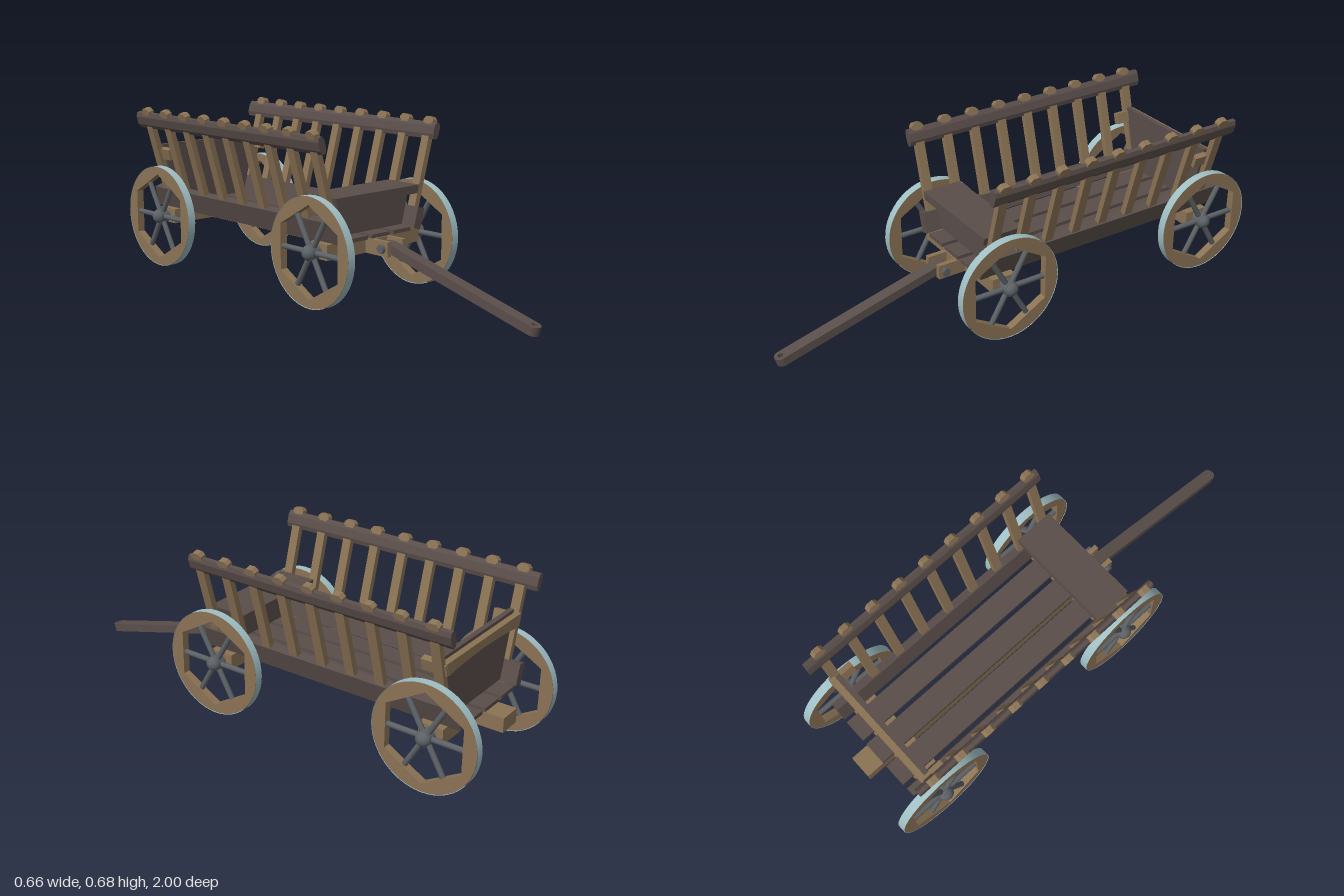
import * as THREE from 'three';

const mat = (color, side = THREE.FrontSide) => new THREE.MeshStandardMaterial({ color, side });
const wood = mat(0x8b7355);
const darkWood = mat(0x5a4e4a);
const iron = mat(0x5c6165);
const tyreSteel = mat(0x9fbfc4, THREE.DoubleSide);

function add(parent, name, geometry, material, x = 0, y = 0, z = 0) {
  const mesh = new THREE.Mesh(geometry, material);
  mesh.name = name;
  mesh.position.set(x, y, z);
  parent.add(mesh);
  return mesh;
}
const box = (w, h, d) => new THREE.BoxGeometry(w, h, d);
const polygon = (pts) => new THREE.Shape(pts.map(([x, y]) => new THREE.Vector2(x, y)));
// Flat shape thickened evenly about z = 0
function slab(shape, depth, curveSegments = 12) {
  return new THREE.ExtrudeGeometry(shape, { depth, bevelEnabled: false, curveSegments }).translate(0, 0, -depth / 2);
}
// Cylinder lying along x
const rod = (r, length, sides) => new THREE.CylinderGeometry(r, r, length, sides).rotateZ(Math.PI / 2);

// Wheel facing +x: round rim with a hexagonal opening, six spokes, domed hub
function makeWheel() {
  const wheel = new THREE.Group();
  wheel.name = 'wheel';
  const rimShape = new THREE.Shape().absarc(0, 0, 0.211, 0, Math.PI * 2);
  const hole = [];
  for (let i = 0; i < 6; i++) {
    const a = Math.PI / 2 - i * Math.PI / 3;
    hole.push(new THREE.Vector2(0.18 * Math.cos(a), 0.18 * Math.sin(a)));
  }
  rimShape.holes.push(new THREE.Path(hole));
  add(wheel, 'rim', slab(rimShape, 0.032, 24).rotateY(Math.PI / 2), wood);
  add(wheel, 'tyre', new THREE.CylinderGeometry(0.213, 0.213, 0.034, 48, 1, true).rotateZ(Math.PI / 2), tyreSteel);
  for (let i = 0; i < 6; i++) {
    const spoke = new THREE.CylinderGeometry(0.011, 0.011, 0.14, 10).translate(0, 0.09, 0);
    add(wheel, 'spoke', spoke, iron).rotation.x = Math.PI / 6 + i * Math.PI / 3;
  }
  add(wheel, 'hub', rod(0.03, 0.04, 20), iron);
  const dome = new THREE.SphereGeometry(0.03, 20, 8, 0, Math.PI * 2, 0, Math.PI / 2);
  add(wheel, 'hubCap', dome.rotateZ(-Math.PI / 2), iron, 0.012).scale.x = 0.95;
  return wheel;
}

// Leaning ladder side: bottom board, nine posts with shaped heads, chamfered top rail
function makeSide() {
  const side = new THREE.Group();
  side.name = 'ladderSide';
  const length = 1.134, midZ = -0.321;
  add(side, 'bottomBoard', box(0.037, 0.085, length), darkWood, 0, 0.043, midZ);
  const w = 0.0155, h = 0.0335, c = 0.008, e = 0.017;
  const rail = polygon([[-w + c, -h], [w - c, -h], [w, -h + e], [w, h - e], [w - c, h], [-w + c, h], [-w, h - e], [-w, -h + e]]);
  add(side, 'topRail', slab(rail, length), darkWood, 0, 0.39, midZ);
  const head = polygon([[-0.025, 0], [0.025, 0], [0.025, 0.012], [0.013, 0.024], [-0.013, 0.024], [-0.025, 0.012]]);
  for (let i = 0; i < 9; i++) {
    const z = 0.203 - i * 0.1277;
    add(side, 'post', box(0.024, 0.4, 0.037), wood, 0, 0.225, z);
    add(side, 'postHead', slab(head, 0.026).rotateY(Math.PI / 2), wood, 0, 0.42, z);
  }
  return side;
}

// Upright board that widens upward to match the leaning sides
function endBoard(y0, y1) {
  const x = (y) => 0.178 + (y - 0.247) * 0.266;
  return polygon([[-x(y0), y0], [x(y0), y0], [x(y1), y1], [-x(y1), y1]]);
}

export function createModel() {
  const cart = new THREE.Group();
  cart.name = 'handcart';
  const frontZ = 0.16, rearZ = -0.787, axleY = 0.215;

  // Undercarriage: long beam and two axles
  add(cart, 'centreBeam', box(0.096, 0.058, 1.21), wood, 0, axleY, -0.358);
  for (const z of [frontZ, rearZ]) {
    add(cart, 'axleBeam', box(0.496, 0.06, 0.1), wood, 0, axleY, z);
    add(cart, 'axle', rod(0.02, 0.56, 16), iron, 0, axleY, z);
    for (const s of [1, -1]) {
      const wheel = makeWheel();
      wheel.position.set(s * 0.28, axleY, z);
      if (s < 0) wheel.rotation.y = Math.PI;
      cart.add(wheel);
    }
  }

  // Floor planks
  for (const x of [-0.117, 0, 0.117]) {
    add(cart, 'floorPlank', box(0.097, 0.015, 1.132), darkWood, x, 0.2525, -0.323);
  }

  // Ladder sides, and cleats holding the tailboard
  for (const s of [1, -1]) {
    const side = makeSide();
    side.position.set(s * 0.1985, 0.247, 0);
    side.rotation.z = -s * 0.275;
    cart.add(side);
    add(cart, 'tailCleat', box(0.026, 0.046, 0.1), wood, s * 0.249, 0.48, -0.795).rotation.z = -s * 0.275;
  }

  // Tailboard, its curved crosspiece, front board and seat
  add(cart, 'tailboard', slab(endBoard(0.26, 0.518), 0.02), darkWood, 0, 0, -0.812);
  const bar = new THREE.Shape();
  bar.moveTo(-0.247, 0.455);
  bar.quadraticCurveTo(0, 0.485, 0.247, 0.455);
  bar.lineTo(0.262, 0.505);
  bar.lineTo(-0.262, 0.505);
  add(cart, 'tailCrosspiece', slab(bar, 0.025), wood, 0, 0, -0.834);
  add(cart, 'frontBoard', slab(endBoard(0.26, 0.386), 0.02), darkWood, 0, 0, 0.17);
  add(cart, 'seat', slab(endBoard(0.385, 0.418), 0.165), darkWood, 0, 0, 0.148);

  // Drawbar between two ears, with a hole at its tip
  for (const s of [1, -1]) {
    add(cart, 'drawbarEar', box(0.02, 0.058, 0.11), wood, s * 0.04, axleY, 0.272);
    add(cart, 'boltHead', rod(0.018, 0.014, 6), iron, s * 0.057, axleY, 0.3);
  }
  add(cart, 'bolt', rod(0.009, 0.11, 12), iron, 0, axleY, 0.3);
  const bar2 = new THREE.Shape();
  const len = 0.692, r = 0.025;
  bar2.absarc(0, len, r, 0, Math.PI);
  bar2.absarc(0, 0, r, Math.PI, Math.PI * 2);
  bar2.closePath();
  bar2.holes.push(new THREE.Path().absarc(0, len, 0.011, 0, Math.PI * 2, true));
  const drawbar = add(cart, 'drawbar', slab(bar2, 0.034), darkWood, 0, axleY, 0.3);
  drawbar.rotation.x = Math.PI / 2 + Math.atan2(0.175, 0.67);

  return cart;
}
